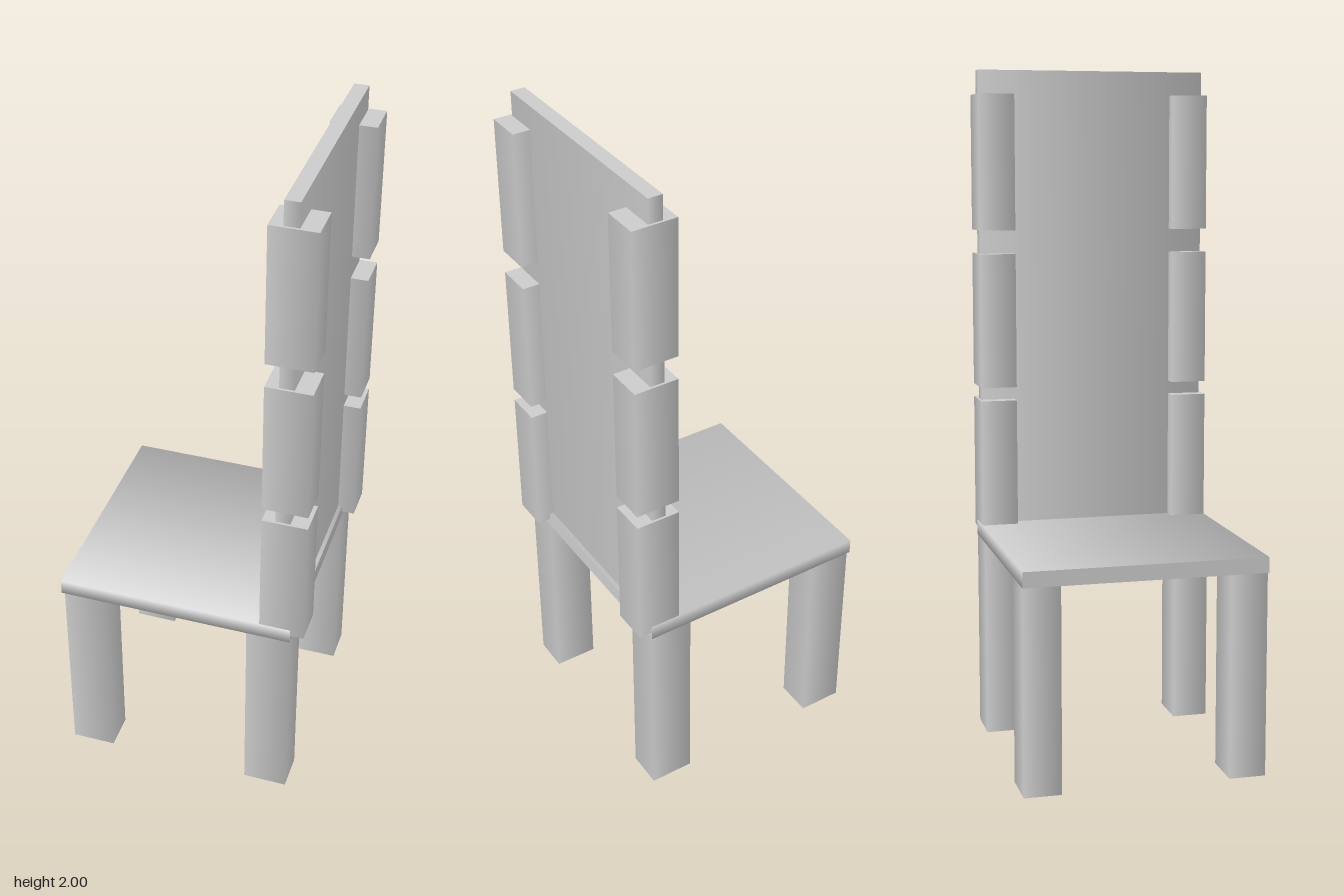
import * as THREE from 'three';

const material = new THREE.MeshStandardMaterial({ color: 0xcccccc });

// Four-sided prism between two corners: sides shaded smoothly round its axis, ends flat.
// Only the positions are stretched, so the side normals stay diagonal at the edges.
function prism(name, min, max, alongX = false) {
  const geometry = new THREE.CylinderGeometry(Math.SQRT1_2, Math.SQRT1_2, 1, 4, 1, false, Math.PI / 4);
  if (alongX) geometry.rotateZ(Math.PI / 2);
  const box = new THREE.Box3(new THREE.Vector3(...min), new THREE.Vector3(...max));
  const size = box.getSize(new THREE.Vector3());
  geometry.attributes.position.applyMatrix4(new THREE.Matrix4().makeScale(size.x, size.y, size.z));
  geometry.computeBoundingSphere();
  const mesh = new THREE.Mesh(geometry, material);
  mesh.name = name;
  box.getCenter(mesh.position);
  return mesh;
}

export function createModel() {
  const chair = new THREE.Group();
  chair.name = 'chair';

  // Seat slab, with its backrest standing near the +x edge
  chair.add(prism('seat', [-0.37, 0.595, -0.352], [0.33, 0.64, 0.351], true));
  chair.add(prism('backPanel', [0.276, 0.62, -0.344], [0.318, 2, 0.343]));

  for (const side of [-1, 1]) {
    const z0 = side < 0 ? -0.351 : 0.243;
    const z1 = side < 0 ? -0.243 : 0.35;

    // Legs
    chair.add(prism('frontLeg', [-0.36, 0, z0], [-0.23, 0.6, z1]));
    chair.add(prism('rearLeg', [0.2, 0, z0], [0.33, 0.6, z1]));

    // Three blocks clasping each edge of the back panel
    for (const y of [0.62, 1.06, 1.53]) {
      chair.add(prism('backBlock', [0.238, y, z0], [0.369, y + 0.4, z1]));
    }
  }
  return chair;
}
